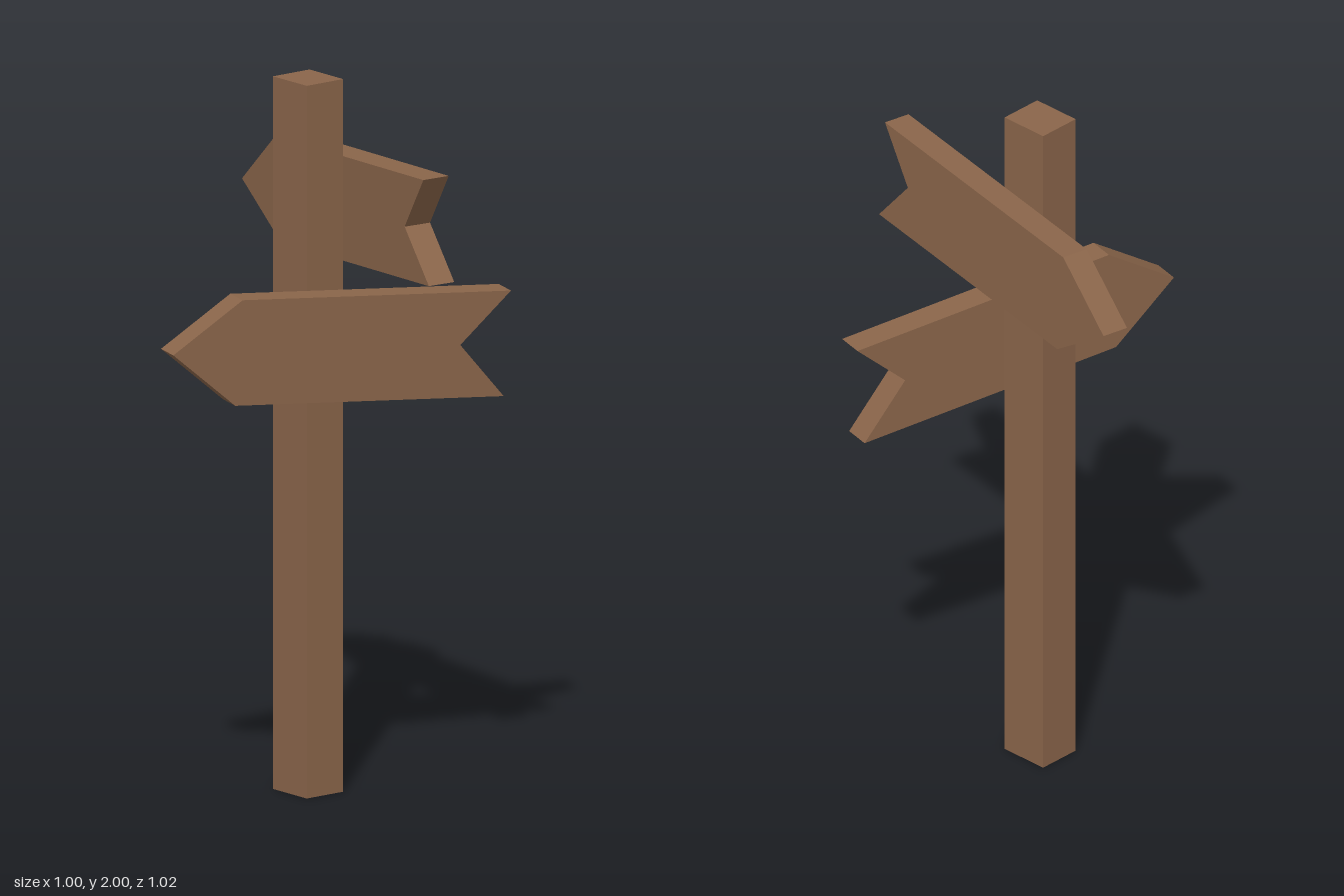
import * as THREE from 'three';

const wood = new THREE.MeshStandardMaterial({ color: 0x8a654a });
wood.name = 'brown wood';

// Arrow plank with a pointed tip and a notched tail; dir is the side the tip points to
function makeBoard(name, { dir, length, notch, position, yaw, tilt, roll }) {
  const half = 0.148, thick = 0.08, tip = 0.198, l = length / 2;
  const points = [
    [l, 0], [l - tip, half], [-l, half], [-l + notch, 0], [-l, -half], [l - tip, -half],
  ].map(([x, y]) => new THREE.Vector2(x * dir, y));
  const geometry = new THREE.ExtrudeGeometry(new THREE.Shape(points), { depth: thick, bevelEnabled: false });
  geometry.translate(0, 0, -thick / 2);
  const board = new THREE.Mesh(geometry, wood);
  board.name = name;
  board.position.set(...position);
  const rad = THREE.MathUtils.degToRad;
  board.rotation.set(rad(tilt), rad(yaw), rad(roll), 'YXZ');
  return board;
}

export function createModel() {
  const group = new THREE.Group();
  group.name = 'signpost';

  // Square upright post
  const post = new THREE.Mesh(new THREE.BoxGeometry(0.128, 2, 0.146), wood);
  post.name = 'post';
  post.position.set(0.001, 1, -0.024);
  group.add(post);

  // Lower board across the front, upper board along the left side
  group.add(makeBoard('lowerBoard', {
    dir: -1, length: 1.008, notch: 0.142, position: [-0.008, 1.271, 0.1], yaw: -14.2, tilt: 1, roll: -3.8,
  }));
  group.add(makeBoard('upperBoard', {
    dir: 1, length: 1.013, notch: 0.118, position: [0.1215, 1.632, -0.005], yaw: 80.8, tilt: -1.6, roll: -3.1,
  }));
  return group;
}
